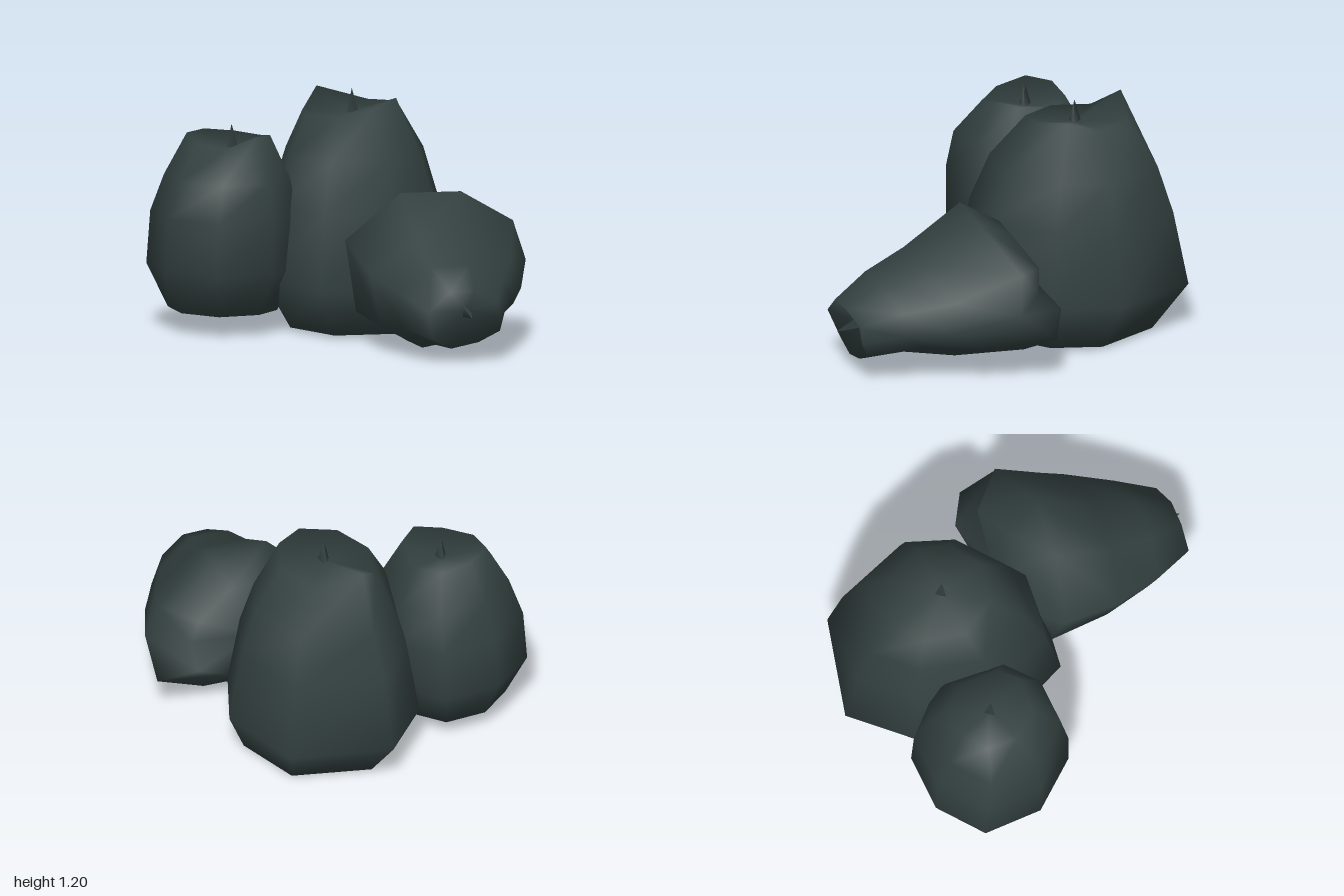
import * as THREE from 'three';

const skin = new THREE.MeshStandardMaterial({ color: 0x334140 });
skin.name = 'dark green grey';

// Fruit standing on its local y axis.
// outline: [x, z, height offset] of the widest ring, from the front (+z) towards +x
// rings: [height, scaleX, scaleZ, shiftX, shiftZ] of that outline, from the bottom up
// rim: extra height of each point of the top ring; dent: height of the hollow's floor
function makeFruit(name, { outline, rings, rim, base, dent, stem }) {
  const group = new THREE.Group();
  group.name = name;
  const sides = outline.length, last = rings.length - 1;
  const points = [], index = [];
  rings.forEach(([y, kx, kz, sx = 0, sz = 0], j) => {
    outline.forEach(([x, z, dy = 0], i) => {
      points.push(sx + x * kx, y + dy * kx + (j === last ? rim[i] : 0), sz + z * kz);
    });
  });
  const baseId = points.length / 3, dentId = baseId + 1;
  points.push(0, base, 0, stem[0], dent, stem[1]);
  for (let i = 0; i < sides; i++) {
    const n = (i + 1) % sides;
    for (let j = 0; j < last; j++) {
      const a = j * sides + i, b = j * sides + n;
      index.push(a, b, b + sides, a, b + sides, a + sides);
    }
    index.push(baseId, n, i);                                  // bottom
    index.push(dentId, last * sides + i, last * sides + n);    // sunken top
  }
  const geometry = new THREE.BufferGeometry();
  geometry.setAttribute('position', new THREE.Float32BufferAttribute(points, 3));
  geometry.setIndex(index);
  geometry.computeVertexNormals();
  const body = new THREE.Mesh(geometry, skin);
  body.name = 'body';

  // Little pointed stem
  const cone = new THREE.Mesh(new THREE.ConeGeometry(0.038, 0.13, 3), skin);
  cone.name = 'stem';
  cone.position.set(stem[0], dent + 0.055, stem[1]);
  cone.rotation.y = Math.PI / 2;
  group.add(body, cone);
  return group;
}

export function createModel() {
  const model = new THREE.Group();
  model.name = 'fruitCluster';

  // Tall fruit in the middle
  const tall = makeFruit('tallFruit', {
    outline: [
      [0, 0.6], [0.36, 0.42], [0.49, 0.01], [0.41, -0.33],
      [0.04, -0.6], [-0.45, -0.42], [-0.51, -0.06], [-0.36, 0.37],
    ],
    rings: [
      [0.02, 0.78, 0.75, 0.04, 0.03],
      [0.26, 1, 1],
      [0.64, 0.87, 0.87],
      [0.88, 0.72, 0.72, 0, -0.01],
      [1.1, 0.5, 0.44, -0.025, -0.02],
    ],
    rim: [-0.01, 0.03, 0.06, 0.02, 0, 0.07, -0.03, -0.02],
    base: 0.005, dent: 1.08, stem: [-0.01, -0.01],
  });
  tall.position.set(-0.03, 0, -0.26);

  // Smaller upright fruit
  const small = makeFruit('smallFruit', {
    outline: [
      [0.08, 0.385], [0.32, 0.215], [0.385, -0.02], [0.2, -0.34],
      [-0.06, -0.395], [-0.3, -0.225], [-0.39, 0.045], [-0.22, 0.295],
    ],
    rings: [
      [0.11, 0.72, 0.72],
      [0.33, 1, 1],
      [0.6, 0.97, 0.98, 0.01, 0.005],
      [0.79, 0.83, 0.84, 0.03, 0.02],
      [0.97, 0.55, 0.53, 0.03, 0],
    ],
    rim: [-0.015, 0.04, 0.03, 0, 0.01, 0.03, 0.03, 0],
    base: 0.085, dent: 0.93, stem: [0.04, -0.01],
  });
  small.position.set(-0.61, 0, 0.085);

  // Fruit lying on its side, top pointing forward and outward
  const lying = makeFruit('lyingFruit', {
    outline: [
      [-0.1, 0.38, 0.07], [0.25, 0.31, -0.06], [0.52, 0.18, -0.16], [0.52, 0, 0],
      [0.46, -0.19, -0.06], [0.16, -0.387, 0.02], [-0.15, -0.388, 0.01],
      [-0.424, -0.144], [-0.35, 0.24],
    ],
    rings: [
      [0.12, 0.64, 0.64],
      [0.285, 1, 1],
      [0.62, 0.83, 0.72, -0.02, 0.03],
      [0.85, 0.63, 0.53, -0.03, 0.01],
      [1.04, 0.41, 0.4, -0.01, 0.03],
    ],
    rim: [-0.03, 0.02, 0.05, 0, 0.01, 0, 0.01, 0.03, 0],
    base: 0.08, dent: 0.99, stem: [0.03, 0],
  });
  const axis = new THREE.Vector3(0.5, -0.18, 0.85).normalize();
  const side = new THREE.Vector3(axis.z, 0, -axis.x).normalize();
  const under = new THREE.Vector3().crossVectors(side, axis);
  lying.quaternion.setFromRotationMatrix(new THREE.Matrix4().makeBasis(side, axis, under));
  lying.position.set(0.31, 0.44, -0.14);

  model.add(tall, small, lying);
  return model;
}
